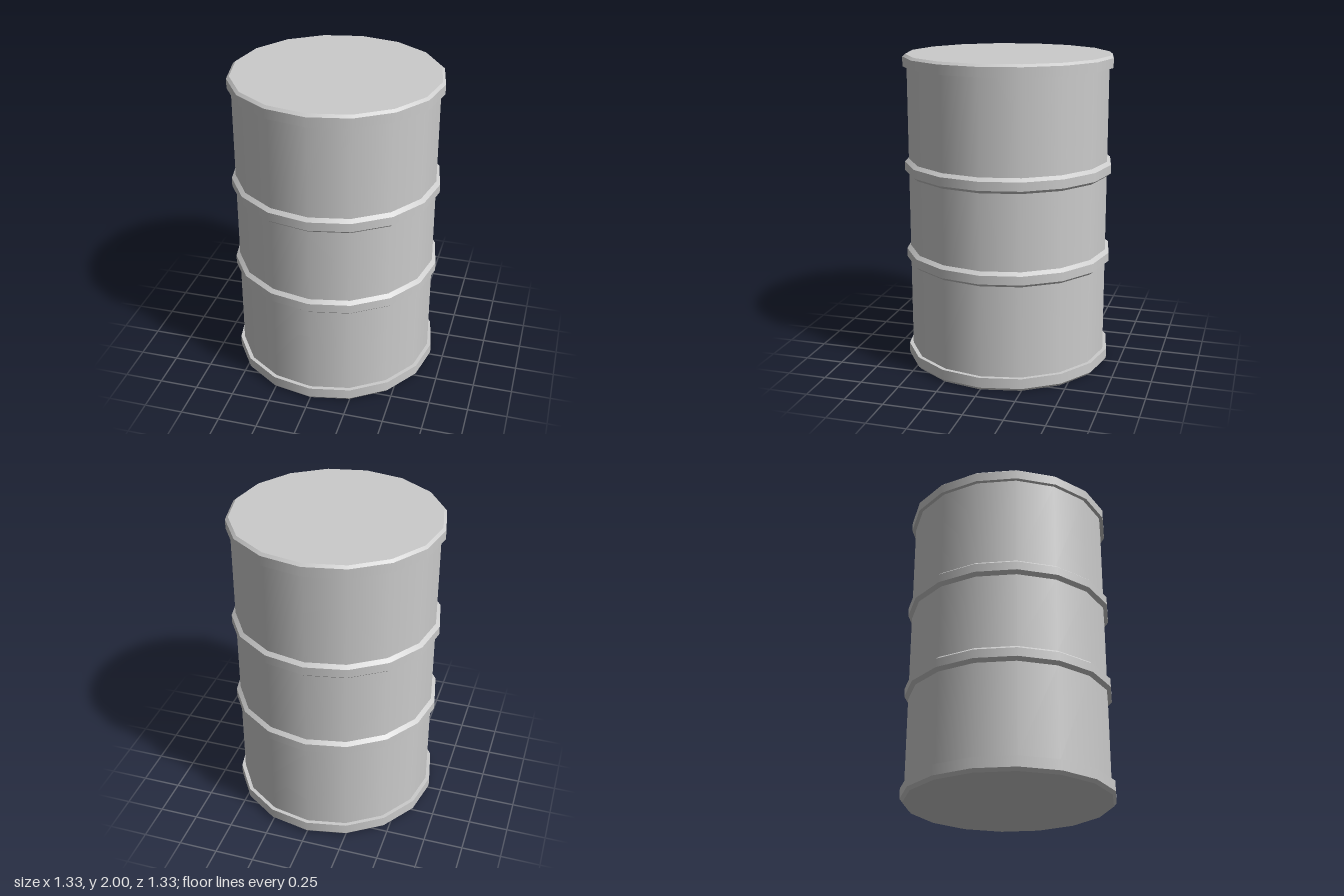
import * as THREE from 'three';
import { mergeGeometries } from 'three/addons/utils/BufferGeometryUtils.js';

const SIDES = 16;
const BODY = 0.64;
const RIM = 0.665;

// Stack of frustums from [radius, height] points: smooth around, sharp between rows
function turned(name, profile, material) {
  const rows = [];
  for (let i = 0; i < profile.length - 1; i++) {
    const [r0, y0] = profile[i];
    const [r1, y1] = profile[i + 1];
    const row = new THREE.CylinderGeometry(r1, r0, y1 - y0, SIDES, 1, true);
    row.translate(0, (y0 + y1) / 2, 0);
    rows.push(row);
  }
  const mesh = new THREE.Mesh(mergeGeometries(rows), material);
  mesh.name = name;
  return mesh;
}

// Flat 16-sided cap or step, facing up or down
function disc(name, inner, outer, y, up, material) {
  const geometry = inner > 0
    ? new THREE.RingGeometry(inner, outer, SIDES)
    : new THREE.CircleGeometry(outer, SIDES);
  geometry.rotateX(up ? -Math.PI / 2 : Math.PI / 2);
  geometry.translate(0, y, 0);
  const mesh = new THREE.Mesh(geometry, material);
  mesh.name = name;
  return mesh;
}

export function createModel() {
  const barrel = new THREE.Group();
  barrel.name = 'barrel';
  const steel = new THREE.MeshStandardMaterial({ color: 0xcccccc });

  // Walls between the rims and hoops
  [[0.085, 0.67], [0.765, 1.245], [1.34, 1.925]].forEach(([y0, y1], i) => {
    barrel.add(turned(['lowerWall', 'middleWall', 'upperWall'][i], [[BODY, y0], [BODY, y1]], steel));
  });

  // Rolling hoops with bevelled edges
  [['lowerHoop', 0.67], ['upperHoop', 1.245]].forEach(([name, y]) => {
    barrel.add(turned(name, [[BODY, y], [RIM, y + 0.02], [RIM, y + 0.075], [BODY, y + 0.095]], steel));
  });

  // Bottom rim: bevelled foot and a flat step up to the wall
  const bottom = new THREE.Group();
  bottom.name = 'bottomRim';
  bottom.add(
    turned('bottomBand', [[0.647, 0], [RIM, 0.02], [RIM, 0.085]], steel),
    disc('bottomStep', BODY, RIM, 0.085, true, steel),
    disc('base', 0, 0.647, 0, false, steel),
  );

  // Top rim: mirrored arrangement with the lid
  const top = new THREE.Group();
  top.name = 'topRim';
  top.add(
    turned('topBand', [[RIM, 1.925], [RIM, 1.985], [0.647, 2]], steel),
    disc('topStep', BODY, RIM, 1.925, false, steel),
    disc('lid', 0, 0.647, 2, true, steel),
  );

  barrel.add(bottom, top);
  return barrel;
}
